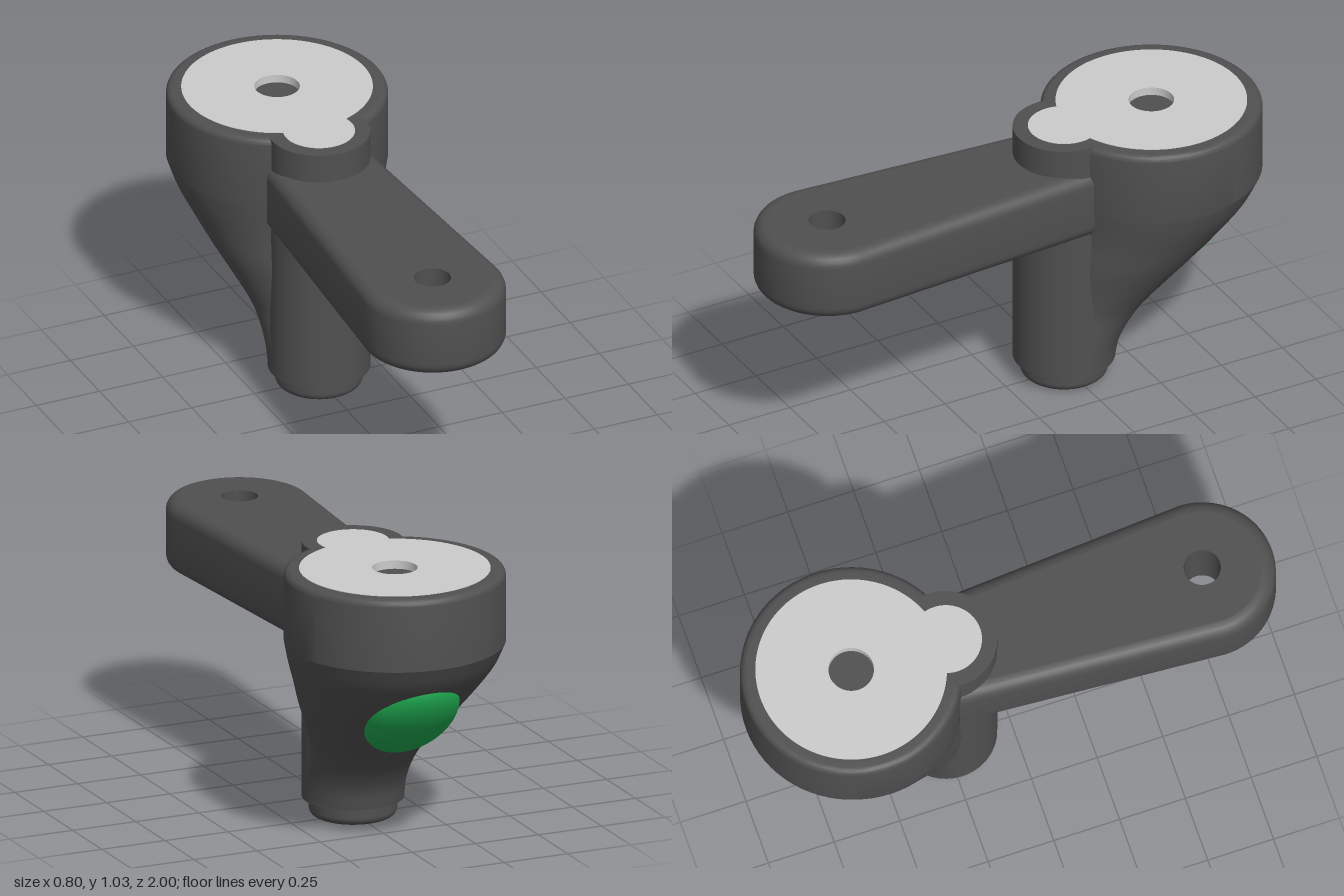
import * as THREE from 'three';
import { toCreasedNormals } from 'three/addons/utils/BufferGeometryUtils.js';

const dark = new THREE.MeshStandardMaterial({ color: 0x505050 });
const darkOpen = new THREE.MeshStandardMaterial({ color: 0x505050, side: THREE.DoubleSide });
const grey = new THREE.MeshStandardMaterial({ color: 0xcccccc });
const green = new THREE.MeshStandardMaterial({ color: 0x1faa50 });

const POST_Z = -0.24, CUP_Z = -0.6, TOP = 1.03;

function add(parent, name, geometry, material) {
  const mesh = new THREE.Mesh(geometry, material);
  mesh.name = name;
  parent.add(mesh);
  return mesh;
}

// Skin through closed rings of equal point count, ordered bottom to top
function loft(rings, crease) {
  const n = rings[0].length, pos = [], index = [];
  rings.forEach(ring => ring.forEach(p => pos.push(p.x, p.y, p.z)));
  for (let i = 0; i < rings.length - 1; i++) {
    for (let j = 0; j < n; j++) {
      const k = (j + 1) % n;
      const a = i * n + j, b = i * n + k, c = a + n, d = b + n;
      index.push(a, b, d, a, d, c);
    }
  }
  const g = new THREE.BufferGeometry();
  g.setAttribute('position', new THREE.Float32BufferAttribute(pos, 3));
  g.setIndex(index);
  return toCreasedNormals(g, crease);
}

function circleRing(r, y, cz, n = 72) {
  return Array.from({ length: n }, (_, i) => {
    const a = (i / n) * Math.PI * 2;
    return new THREE.Vector3(r * Math.sin(a), y, cz + r * Math.cos(a));
  });
}

// Flared body: circles that grow and slide backwards, then a rimmed cup
function bodyGeometry() {
  // height, radius, rearmost z
  const stations = [
    [0.07, 0.184, -0.425], [0.14, 0.185, -0.44], [0.2, 0.187, -0.472], [0.25, 0.192, -0.51],
    [0.3, 0.203, -0.555], [0.4, 0.248, -0.665], [0.5, 0.298, -0.775], [0.6, 0.342, -0.88],
    [0.68, 0.376, -0.953], [0.76, 0.4, -1.0],
  ];
  const curve = new THREE.CatmullRomCurve3(stations.map(s => new THREE.Vector3(...s)));
  const rings = curve.getPoints(36).map(p => circleRing(p.y, p.x, p.z + p.y));
  const f = 0.025;
  for (let i = 0; i <= 6; i++) {
    const a = (i / 6) * Math.PI / 2;
    rings.push(circleRing(0.4 - f + f * Math.cos(a), TOP - f + f * Math.sin(a), CUP_Z));
  }
  // rim, inner wall and floor
  [[0.345, TOP], [0.345, 1.0], [0.0001, 1.0]].forEach(([r, y]) => rings.push(circleRing(r, y, CUP_Z)));
  return loft(rings, 0.35);
}

// Tapered arm outline (x, z), inset by d
const ARM = { z: 0.735, r: 0.265, backHalf: 0.2, backZ: -0.255, y0: 0.655, y1: 0.92, f: 0.05, hole: 0.067 };
function armOutline(d) {
  const pts = [];
  for (let i = 0; i <= 40; i++) {
    const a = -Math.PI / 2 + (i / 40) * Math.PI;
    pts.push([(ARM.r - d) * Math.sin(a), ARM.z + (ARM.r - d) * Math.cos(a)]);
  }
  pts.push([ARM.backHalf - d, ARM.backZ], [d - ARM.backHalf, ARM.backZ]);
  return pts;
}

function armFace(sign) {
  const shape = new THREE.Shape(armOutline(ARM.f).map(([x, z]) => new THREE.Vector2(x, -sign * z)));
  shape.holes.push(new THREE.Path().absarc(0, -sign * ARM.z, ARM.hole, 0, Math.PI * 2, true));
  return new THREE.ShapeGeometry(shape, 24)
    .rotateX(-sign * Math.PI / 2)
    .translate(0, sign > 0 ? ARM.y1 : ARM.y0, 0);
}

function buildArm() {
  const arm = new THREE.Group();
  arm.name = 'arm';
  const rings = [], steps = 6, f = ARM.f;
  for (const end of [-1, 1]) {
    for (let i = 0; i <= steps; i++) {
      const t = (end < 0 ? i : steps - i) / steps * Math.PI / 2;
      const d = f * (1 - Math.sin(t)), lift = f * (1 - Math.cos(t));
      const y = end < 0 ? ARM.y0 + lift : ARM.y1 - lift;
      rings.push(armOutline(d).map(([x, z]) => new THREE.Vector3(x, y, z)));
    }
  }
  add(arm, 'armSides', loft(rings, 0.6), dark);
  add(arm, 'armTop', armFace(1), dark);
  add(arm, 'armUnderside', armFace(-1), dark);
  const h = ARM.y1 - ARM.y0;
  add(arm, 'armHole', new THREE.CylinderGeometry(ARM.hole, ARM.hole, h, 32, 1, true), darkOpen)
    .position.set(0, ARM.y0 + h / 2, ARM.z);
  return arm;
}

// Keyhole-shaped plate: large disc with a small lobe and a centre hole
function capGeometry() {
  const R = 0.345, r = 0.13, d = POST_Z - CUP_Z;
  const along = (d * d + R * R - r * r) / (2 * d);
  const half = Math.sqrt(R * R - along * along);
  const A = Math.asin(half / R), B = Math.atan2(d - along, half);
  const s = new THREE.Shape();
  s.absarc(0, -CUP_Z, R, -Math.PI / 2 + A, Math.PI * 1.5 - A, false);
  s.absarc(0, -POST_Z, r, Math.PI - B, Math.PI * 2 + B, false);
  s.holes.push(new THREE.Path().absarc(0, -CUP_Z, 0.082, 0, Math.PI * 2, true));
  const depth = 0.031;
  return new THREE.ExtrudeGeometry(s, { depth, bevelEnabled: false, curveSegments: 48 })
    .rotateX(-Math.PI / 2)
    .translate(0, TOP + 0.002 - depth, 0);
}

export function createModel() {
  const model = new THREE.Group();
  model.name = 'crankHandle';

  add(model, 'flaredBody', bodyGeometry(), dark);

  // Straight post down the front
  const postH = TOP - 0.07;
  add(model, 'post', new THREE.CylinderGeometry(0.185, 0.185, postH, 64), dark)
    .position.set(0, 0.07 + postH / 2, POST_Z);

  // Narrower foot with a rounded lower edge
  const foot = [new THREE.Vector2(0, 0)];
  for (let i = 0; i <= 6; i++) {
    const a = (i / 6) * Math.PI / 2;
    foot.push(new THREE.Vector2(0.13 + 0.03 * Math.sin(a), 0.03 - 0.03 * Math.cos(a)));
  }
  foot.push(new THREE.Vector2(0.16, 0.08));
  add(model, 'foot', new THREE.LatheGeometry(foot, 48), dark).position.z = POST_Z;

  model.add(buildArm());
  add(model, 'topPlate', capGeometry(), grey);

  // Oval button bulging from the sloping back
  const button = add(model, 'button', new THREE.SphereGeometry(1, 48, 32), green);
  button.scale.set(0.17, 0.237, 0.1);
  button.position.set(0, 0.52, -0.742);
  button.rotation.x = -Math.atan2(0.32, 0.295);

  return model;
}
